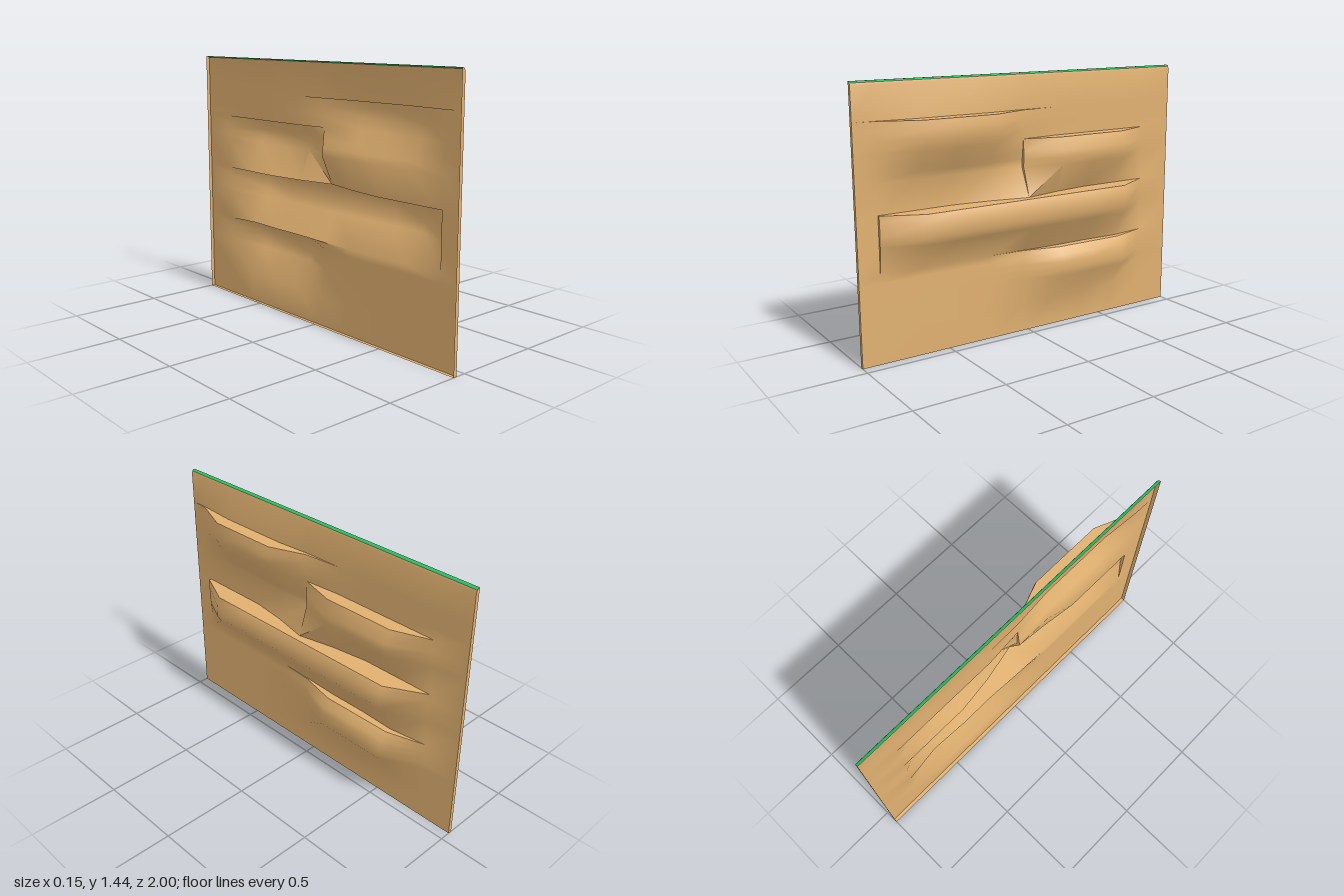
import * as THREE from 'three';
import { toCreasedNormals } from 'three/addons/utils/BufferGeometryUtils.js';

const FACE = -0.057; // plain wall surface
const BACK = -0.078; // open rear rim

// Stations from +z to -z: [z, upper left ledge, upper right ledge, middle ledge, lower ledge,
//                          x just above the middle ledge, x just above the lower ledge]
const stations = [
  [1, 0, 0, 0, 0, FACE, FACE],
  [0.885, 0.1, 0, 0, 0, FACE, FACE],
  [0.885, 0.1, 0, 0.12, 0, FACE, FACE],
  [0.67, 1, 0, 1, 0, FACE, FACE],
  [0.46, 1, 0, 1, 0, FACE, FACE],
  [0.25, 1, 0, 1, 0, -0.03, FACE],
  [0.04, 0.2, 0, 1, 0.2, 0.015, -0.05],
  [0.04, 0.2, 0.2, 1, 0.2, 0.015, -0.05],
  [-0.17, 0, 1, 1, 1, -0.03, -0.04],
  [-0.38, 0, 1, 1, 1, FACE, -0.04],
  [-0.59, 0, 1, 1, 1, FACE, -0.03],
  [-0.8, 0, 0, 0, 0, FACE, FACE],
  [-1, 0, 0, 0, 0, FACE, FACE],
];

// Vertical cross-section of the rock at one station, as [x, y] from bottom to top
function rockProfile([, a, b, c, d, aboveMiddle, aboveLower]) {
  const out = (x, amount) => FACE + (x - FACE) * amount;
  return [
    [BACK, 0], [FACE, 0], [FACE, 0.16],
    // lower ledge
    [out(0.04, d), 0.31], [out(0.05, d), 0.35], [out(0.05, d), 0.39], [out(0.04, d), 0.43],
    [Math.max(out(0.005, d), aboveLower), 0.47], [aboveLower, 0.47],
    // middle ledge
    [out(0.05, c), 0.62], [out(0.075, c), 0.66], [out(0.075, c), 0.74],
    [Math.max(out(0.055, c), aboveMiddle), 0.78], [aboveMiddle, 0.78],
    // upper right ledge, overlapped by the underside of the upper left one
    [out(0.035, b), 0.94],
    [Math.max(out(0.05, b), out(-0.035, a)), 0.98],
    [Math.max(out(0.05, b), out(-0.013, a)), 1.02],
    [Math.max(out(0.02, b), out(0.025, a)), 1.09], [out(0.025, a), 1.09],
    // upper left ledge
    [out(0.05, a), 1.15], [out(0.05, a), 1.2], [out(0.04, a), 1.245], [out(-0.037, a), 1.245],
    // rounded shoulder
    [FACE, 1.42], [-0.061, 1.432],
  ];
}

// Skin a row of equal-length cross-sections
function loft(sections) {
  const n = sections[0].length;
  const index = [];
  for (let i = 0; i < sections.length - 1; i++) {
    for (let j = 0; j < n - 1; j++) {
      const p = i * n + j, q = p + n;
      index.push(p, q, q + 1, p, q + 1, p + 1);
    }
  }
  const geometry = new THREE.BufferGeometry();
  geometry.setAttribute('position', new THREE.Float32BufferAttribute(sections.flat(2), 3));
  geometry.setIndex(index);
  return toCreasedNormals(geometry, 0.85);
}

const atZ = (profile, z) => profile.map(([x, y]) => [x, y, z]);

export function createModel() {
  const group = new THREE.Group();
  const rock = new THREE.MeshStandardMaterial({ color: 0xe0b070, side: THREE.DoubleSide });
  const grass = new THREE.MeshStandardMaterial({ color: 0x2fbf66, side: THREE.DoubleSide });
  const add = (name, sections, material) => {
    const mesh = new THREE.Mesh(loft(sections), material);
    mesh.name = name;
    group.add(mesh);
  };

  // Rock face with its ledges and bottom rim
  add('rockFace', stations.map((s) => atZ(rockProfile(s), s[0])), rock);

  // Grass strip along the top
  const grassProfile = [[-0.061, 1.432], [-0.068, 1.439], [BACK, 1.44]];
  add('grassTop', [atZ(grassProfile, 1), atZ(grassProfile, -1)], grass);

  // Narrow rims closing the two ends
  const edge = [[FACE, 0], [FACE, 1.42], [-0.061, 1.432], [-0.068, 1.439], [BACK, 1.44]];
  const rear = edge.map(([, y]) => [BACK, y]);
  add('leftEndRim', [atZ(rear, 1), atZ(edge, 1)], rock);
  add('rightEndRim', [atZ(edge, -1), atZ(rear, -1)], rock);
  return group;
}
